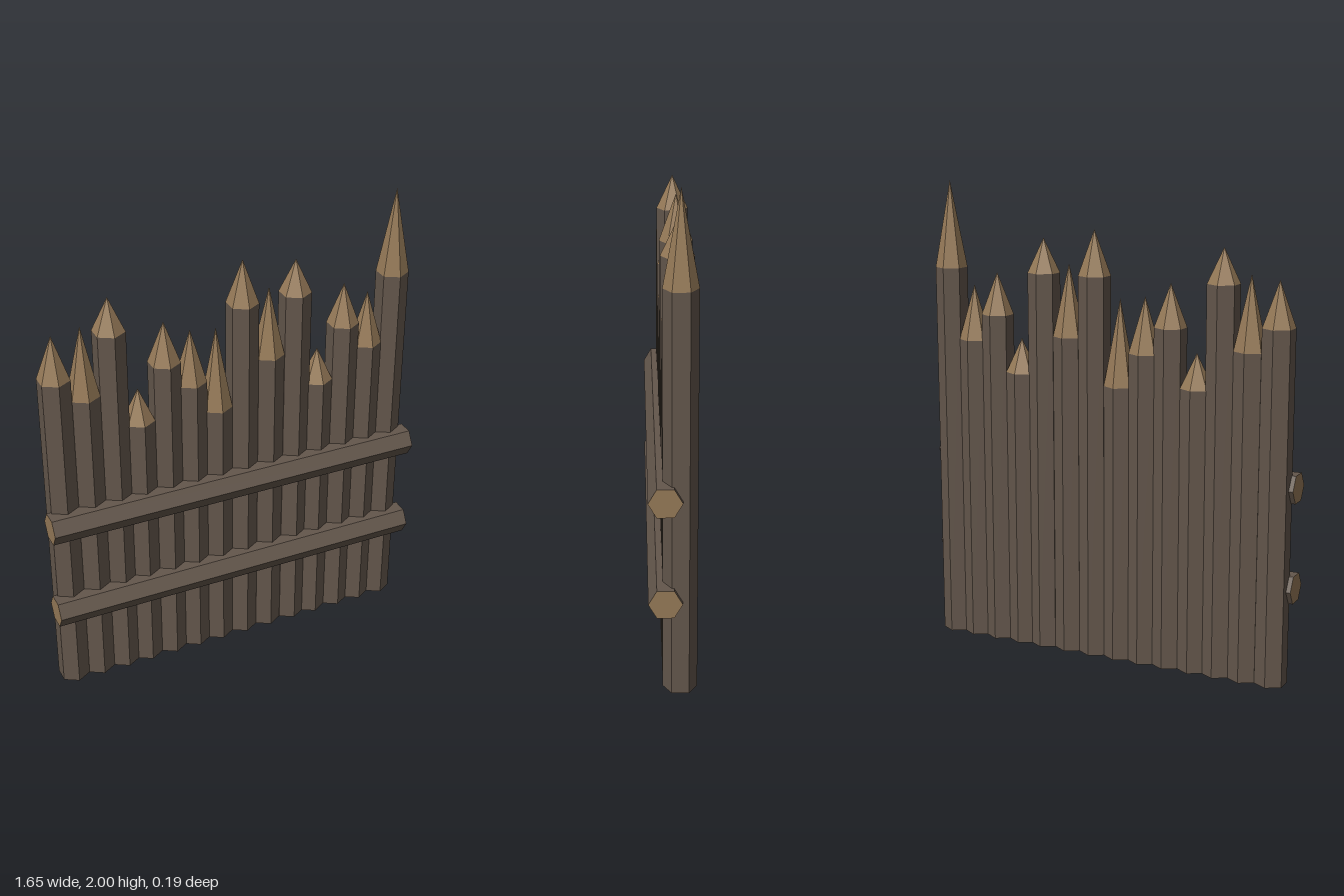
import * as THREE from 'three';

const bark = new THREE.MeshStandardMaterial({ color: 0x64574c, flatShading: true });
const wood = new THREE.MeshStandardMaterial({ color: 0x967a58, flatShading: true });

const POST_RADIUS = 0.068;
const RAIL_RADIUS = 0.0665;

// Hexagonal log: bark on the sides, cut wood on both ends
function log(name, radius, length) {
  const mesh = new THREE.Mesh(
    new THREE.CylinderGeometry(radius, radius, length, 6), [bark, wood, wood]);
  mesh.name = name;
  return mesh;
}

// Upright stake with a sharpened point
function stake(x, shoulder, tip) {
  const group = new THREE.Group();
  group.name = 'stake';
  const post = log('post', POST_RADIUS, shoulder);
  post.position.y = shoulder / 2;
  const point = new THREE.Mesh(
    new THREE.ConeGeometry(POST_RADIUS, tip - shoulder, 6, 1, true), wood);
  point.name = 'sharpenedPoint';
  point.position.y = (shoulder + tip) / 2;
  group.add(post, point);
  group.position.set(x, 0, -0.027);
  return group;
}

export function createModel() {
  const fence = new THREE.Group();
  fence.name = 'palisade';

  // Stakes from right to left: x, shoulder height, tip height
  const stakes = [
    [-0.75, 1.47, 1.66], [-0.632, 1.37, 1.675], [-0.515, 1.63, 1.775],
    [-0.404, 1.2, 1.345], [-0.287, 1.44, 1.62], [-0.174, 1.325, 1.56],
    [-0.061, 1.18, 1.545], [0.057, 1.63, 1.82], [0.175, 1.37, 1.675],
    [0.294, 1.63, 1.775], [0.403, 1.2, 1.345], [0.52, 1.44, 1.62],
    [0.633, 1.325, 1.56], [0.746, 1.63, 2],
  ];
  for (const [x, shoulder, tip] of stakes) fence.add(stake(x, shoulder, tip));

  // Two horizontal rails across the front
  for (const y of [0.4, 0.82]) {
    const rail = log('rail', RAIL_RADIUS, 1.655);
    rail.rotation.z = Math.PI / 2;
    rail.position.set(0, y, 0.031);
    fence.add(rail);
  }
  return fence;
}
